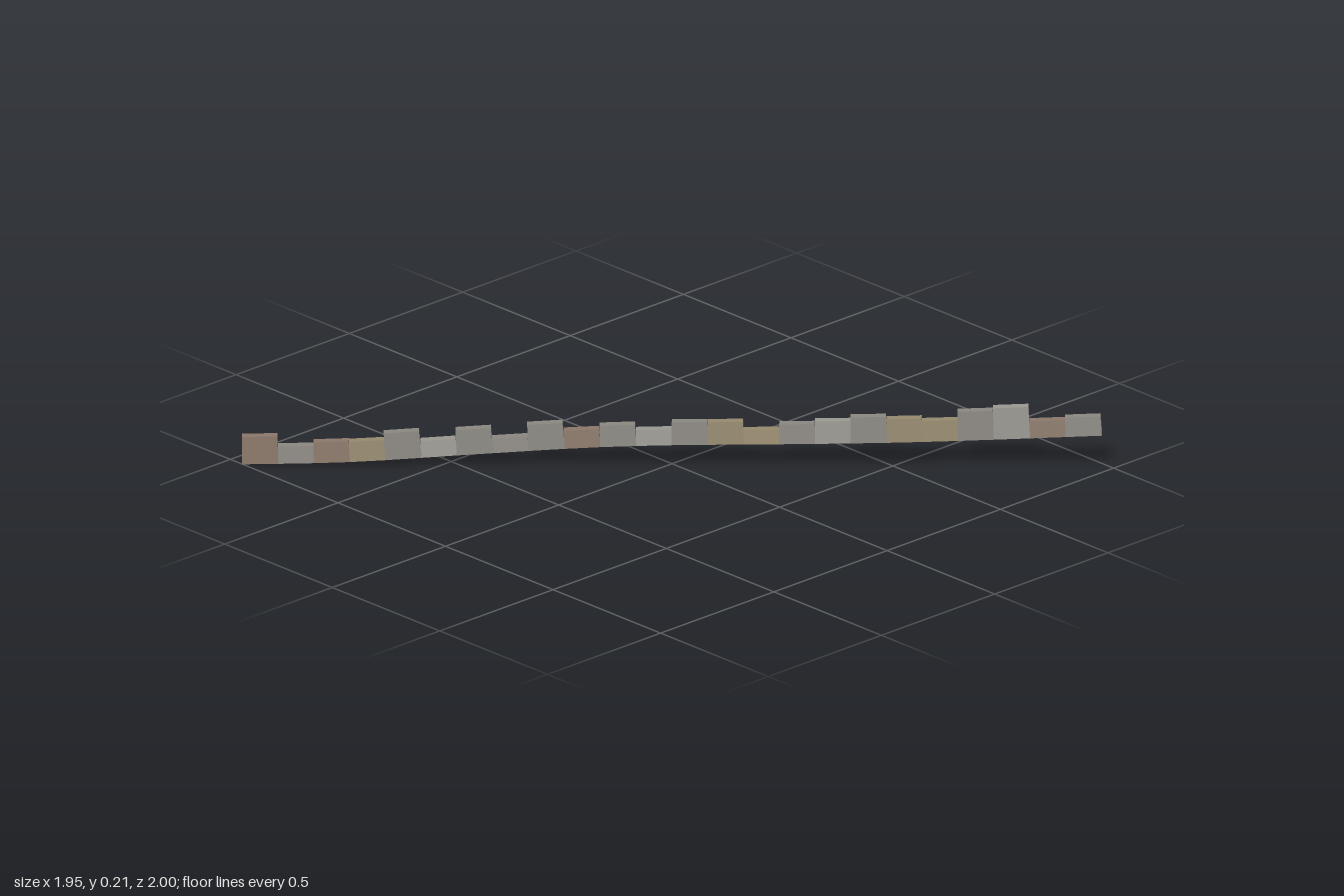
import * as THREE from 'three';

const COUNT = 24;
const HALF_X = 0.96, HALF_Z = 0.985;          // ends of the wall's centre line
const BASE_WIDTH = 0.046, TOP_RATIO = 0.62;   // stones narrow towards the top

// Height of each stone's upper edge, first stone at the low end
const TOPS = [0.097, 0.065, 0.081, 0.086, 0.118, 0.092, 0.13, 0.102, 0.149, 0.128, 0.144, 0.128,
  0.154, 0.155, 0.128, 0.149, 0.16, 0.175, 0.17, 0.165, 0.198, 0.212, 0.167, 0.18];

// Stone tints: g grey, b brown, t tan, l light
const TINTS = { g: 0x8b8882, b: 0x8a786a, t: 0x96896e, l: 0x9a9891 };
const PATTERN = 'bgbtglggggbglgttglgttglbg'.replace('gggg', 'ggg');

// Ground line under the wall, as [x, y]
const ground = new THREE.SplineCurve([
  [-0.97, 0.003], [-0.72, 0.013], [-0.46, 0.04], [-0.2, 0.066],
  [0, 0.077], [0.32, 0.084], [0.59, 0.094], [0.97, 0.118],
].map(([x, y]) => new THREE.Vector2(x, y)));
const groundPoints = ground.getPoints(200);

function groundY(x) {
  const i = groundPoints.findIndex((p) => p.x >= x);
  if (i < 0) return groundPoints[groundPoints.length - 1].y;
  if (i === 0) return groundPoints[0].y;
  const a = groundPoints[i - 1], b = groundPoints[i];
  return a.y + (b.y - a.y) * (x - a.x) / (b.x - a.x);
}

// Block standing on its base, tapering upwards across the wall
function stoneGeometry(length, height) {
  const geo = new THREE.BoxGeometry(length, height, BASE_WIDTH);
  geo.translate(0, height / 2, 0);
  const pos = geo.attributes.position;
  for (let i = 0; i < pos.count; i++) {
    const k = pos.getY(i) / height;
    pos.setZ(i, pos.getZ(i) * (1 - (1 - TOP_RATIO) * k));
    pos.setX(i, pos.getX(i) * (1 - 0.03 * k));
  }
  geo.computeVertexNormals();
  return geo;
}

export function createModel() {
  const wall = new THREE.Group();
  wall.name = 'stoneWall';
  const pitch = 2 * Math.hypot(HALF_X, HALF_Z) / COUNT;
  const materials = {};
  for (const key in TINTS) {
    materials[key] = new THREE.MeshStandardMaterial({ color: TINTS[key], flatShading: true });
  }

  // Row of stones along the diagonal, each tilted with the slope
  for (let i = 0; i < COUNT; i++) {
    const s = 2 * (i + 0.5) / COUNT - 1;
    const x = s * HALF_X;
    const half = HALF_X / COUNT;
    const rise = groundY(x + half) - groundY(x - half);
    const y = (groundY(x + half) + groundY(x - half)) / 2;
    const height = TOPS[i] - y - rise / 2;
    const stone = new THREE.Mesh(stoneGeometry(pitch * 1.02, height), materials[PATTERN[i]]);
    stone.name = `stone${i + 1}`;
    stone.position.set(x, y, -s * HALF_Z);
    stone.rotation.set(0, Math.atan2(HALF_Z, HALF_X), Math.atan2(rise, pitch));
    wall.add(stone);
  }
  return wall;
}
